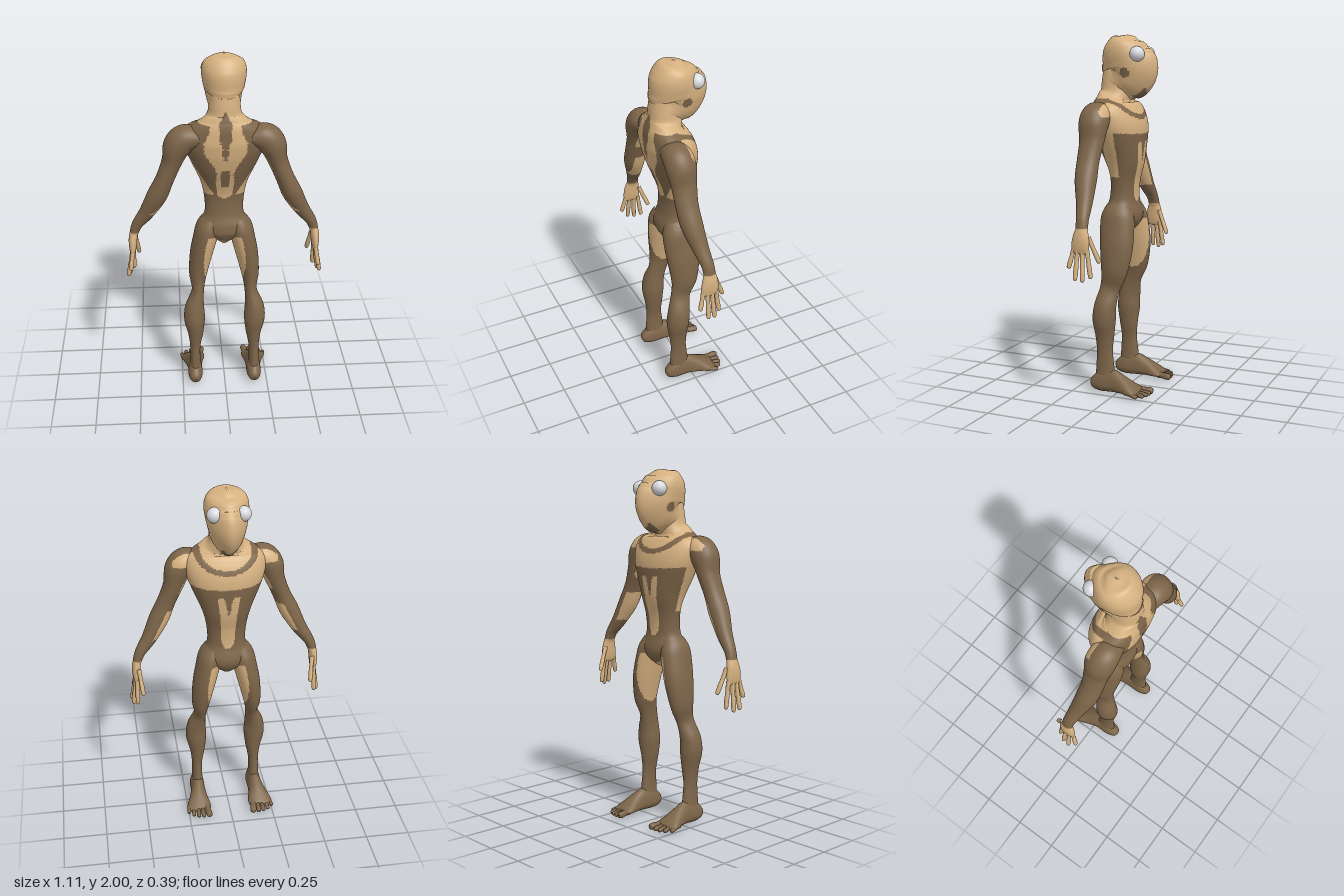
import * as THREE from 'three';

const tan = new THREE.MeshStandardMaterial({ color: 0xd6b180 });
const brown = new THREE.MeshStandardMaterial({ color: 0x7d6549 });
const eyeGrey = new THREE.MeshStandardMaterial({ color: 0xdadbdf });
tan.name = 'tanSkin';
brown.name = 'brownSkin';
eyeGrey.name = 'eyeGrey';

const Z = new THREE.Vector3(0, 0, 1), Y = new THREE.Vector3(0, 1, 0);

// Smooth interpolation of rows of numbers
function sample(rows, t) {
  const n = rows.length - 1, i = Math.min(Math.floor(t), n - 1), f = t - i;
  const [a, b, c, d] = [rows[Math.max(i - 1, 0)], rows[i], rows[i + 1], rows[Math.min(i + 2, n)]];
  return b.map((_, k) => b[k] + 0.5 * f * (c[k] - a[k]
    + f * (2 * a[k] - 5 * b[k] + 4 * c[k] - d[k] + f * (3 * (b[k] - c[k]) + d[k] - a[k]))));
}

// Linear lookup in [key, value] pairs, zero outside
function lookup(table, k) {
  for (let i = 0; i < table.length - 1; i++) {
    const [k0, v0] = table[i], [k1, v1] = table[i + 1];
    if (k >= k0 && k <= k1) return v0 + (v1 - v0) * (k - k0) / (k1 - k0);
  }
  return 0;
}

// Loft of oval rings [x, y, z, side radius, radius along ref, radius against ref];
// isTan(|x|, y, z) picks the skin colour of each face
function loft(name, rows, isTan, { ref = Z, seg = 48, steps = 8, power = 1, taper = 0 } = {}) {
  const count = (rows.length - 1) * steps, pos = [], lists = [[], []];
  const at = (t) => new THREE.Vector3(...sample(rows, t));
  for (let i = 0; i <= count; i++) {
    const t = i / steps, [x, y, z, side, plus, minus] = sample(rows, t);
    const T = at(Math.min(t + 0.1, rows.length - 1)).sub(at(Math.max(t - 0.1, 0))).normalize();
    const V = ref.clone().addScaledVector(T, -ref.dot(T)).normalize();
    const U = V.clone().cross(T);
    for (let j = 0; j < seg; j++) {
      const a = j / seg * Math.PI * 2, c = Math.cos(a), s = Math.sin(a);
      const shape = (v) => Math.sign(v) * Math.abs(v) ** power;
      const narrow = c < 0 ? 1 - taper * c * c : 1;
      const p = new THREE.Vector3(x, y, z)
        .addScaledVector(U, Math.max(side, 0.001) * shape(s) * narrow)
        .addScaledVector(V, Math.max(c > 0 ? plus : minus, 0.001) * shape(c));
      pos.push(p.x, p.y, p.z);
    }
  }
  const face = (a, b, c) => {
    const mid = (k) => (pos[a * 3 + k] + pos[b * 3 + k] + pos[c * 3 + k]) / 3;
    const ax = Math.abs(mid(0));
    lists[isTan(ax, mid(1), mid(2)) ? 0 : 1].push(a, b, c);
  };
  for (let i = 0; i < count; i++) for (let j = 0; j < seg; j++) {
    const k = (j + 1) % seg, a = i * seg + j, b = i * seg + k;
    face(a, a + seg, b);
    face(b, a + seg, b + seg);
  }
  const g = new THREE.BufferGeometry();
  g.setAttribute('position', new THREE.Float32BufferAttribute(pos, 3));
  g.setIndex([...lists[0], ...lists[1]]);
  g.addGroup(0, lists[0].length, 0);
  g.addGroup(lists[0].length, lists[1].length, 1);
  g.computeVertexNormals();
  const mesh = new THREE.Mesh(g, [tan, brown]);
  mesh.name = name;
  return mesh;
}

// Upright ring from height, half width, front z and back z
const ring = ([y, w, front, back]) => {
  const z = (front + back) / 2;
  return [0, y, z, w, back - z, z - front];
};

// Markings
const backPanel = [[1.17, 0.035], [1.24, 0.045], [1.33, 0.05], [1.37, 0.042], [1.42, 0.065],
  [1.5, 0.115], [1.56, 0.115], [1.62, 0.085], [1.7, 0.08]];
const spine = [[1.28, 0.02], [1.33, 0.025], [1.39, 0.022], [1.395, 0], [1.43, 0], [1.5, 0.015],
  [1.53, 0.012], [1.57, 0.03], [1.66, 0.035], [1.73, 0]];
const belly = [[1.08, 0.012], [1.11, 0.035], [1.22, 0.04], [1.3, 0.045], [1.41, 0.06], [1.42, 0]];
const bellyNotch = [[1.29, 0], [1.42, 0.026]];

function torsoTan(ax, y, z) {
  if (z > 0.09 && ax < lookup(spine, y)) return false;
  if (y > 1.655) return true;
  if (z > 0.1) return ax < lookup(backPanel, y);
  if (y < 0.97) return ax < 0.07 && z > -0.03;
  if (y > 1.46 + 0.25 * ax * ax && z < 0.065) {
    const collar = (ax / 0.16) ** 2 + ((1.665 - y) / 0.11) ** 2;
    return collar < 0.8 || collar > 1.3;
  }
  if (z < 0 && ax < 0.09) return ax < lookup(belly, y) && ax >= lookup(bellyNotch, y);
  return y > 1.22 && y < 1.49 && Math.abs(z - 0.055) < 0.04;
}
const headTan = (ax, y, z) => Math.hypot(y - 1.795, z + 0.01) > 0.028
  && !(y < 1.765 && z < -0.03 && z > -0.11 && ax < 0.04);
function armTan(ax, y, z) {
  if (y < 0.995) return true;
  if (y > 1.56 && ax < 0.29) return z < 0.06;
  const inner = ax < 0.37 + (1.23 - y) * 0.5 - 0.012;
  if (y > 1.12 && y < 1.29) return inner && z < 0.125;
  return y > 1.38 && y < 1.5 && ax < 0.262 && Math.abs(z - 0.09) < 0.045;
}
const legTan = (ax, y) => y > 0.64 && y < 0.97 && ax < 0.118 - ((y - 0.8) / 0.17) ** 2 * 0.025;
const allTan = () => true, allBrown = () => false;

const torso = [[0.9, 0.01, 0.02, 0.06], [0.93, 0.05, -0.03, 0.1], [0.98, 0.12, -0.063, 0.125],
  [1.03, 0.135, -0.06, 0.125], [1.1, 0.108, -0.045, 0.105], [1.2, 0.112, -0.05, 0.1],
  [1.3, 0.135, -0.075, 0.125], [1.42, 0.185, -0.085, 0.165], [1.5, 0.215, -0.08, 0.185],
  [1.57, 0.225, -0.05, 0.195], [1.62, 0.2, -0.02, 0.188], [1.655, 0.14, -0.01, 0.175],
  [1.69, 0.095, -0.015, 0.165], [1.75, 0.083, -0.013, 0.16], [1.82, 0.075, 0, 0.15]];
const head = [[1.7, 0.082, -0.01, 0.163], [1.735, 0.085, -0.03, 0.163], [1.755, 0.09, -0.09, 0.163],
  [1.78, 0.098, -0.145, 0.163], [1.82, 0.108, -0.167, 0.163], [1.86, 0.115, -0.148, 0.163],
  [1.9, 0.12, -0.12, 0.157], [1.94, 0.115, -0.098, 0.142], [1.97, 0.098, -0.07, 0.115],
  [1.99, 0.06, -0.035, 0.075], [2.0, 0.003, 0.01, 0.03]];
const arm = [[0.14, 1.57, 0.1, 0.05, 0.07, 0.06], [0.21, 1.565, 0.105, 0.075, 0.08, 0.08],
  [0.255, 1.52, 0.1, 0.075, 0.085, 0.08], [0.285, 1.43, 0.095, 0.055, 0.075, 0.065],
  [0.325, 1.33, 0.1, 0.05, 0.065, 0.06], [0.37, 1.23, 0.095, 0.055, 0.06, 0.06],
  [0.43, 1.12, 0.075, 0.042, 0.045, 0.045], [0.485, 1.04, 0.06, 0.03, 0.035, 0.035],
  [0.507, 0.98, 0.055, 0.024, 0.034, 0.034]];
const palm = [[0.503, 1.0, 0.055, 0.022, 0.03, 0.032], [0.512, 0.95, 0.057, 0.024, 0.045, 0.045],
  [0.515, 0.9, 0.06, 0.021, 0.05, 0.052], [0.516, 0.865, 0.06, 0.013, 0.045, 0.045],
  [0.517, 0.855, 0.06, 0.001, 0.02, 0.02]];
const fingers = [[[0.515, 0.88, 0.098], [0.53, 0.78, 0.122]], [[0.518, 0.88, 0.073], [0.545, 0.72, 0.078]],
  [[0.516, 0.88, 0.047], [0.538, 0.712, 0.038]], [[0.512, 0.88, 0.022], [0.515, 0.73, 0.0]],
  [[0.5, 0.95, 0.02], [0.482, 0.81, -0.037]]];
const leg = [[0.07, 1.06, 0.035, 0.05, 0.07, 0.07], [0.09, 1.0, 0.035, 0.068, 0.095, 0.095],
  [0.11, 0.92, 0.03, 0.067, 0.1, 0.1], [0.132, 0.82, 0.025, 0.063, 0.095, 0.095],
  [0.15, 0.7, 0.03, 0.051, 0.078, 0.078], [0.153, 0.6, 0.055, 0.035, 0.058, 0.06],
  [0.173, 0.5, 0.075, 0.055, 0.063, 0.063], [0.175, 0.42, 0.08, 0.06, 0.068, 0.065],
  [0.17, 0.33, 0.08, 0.045, 0.055, 0.055], [0.173, 0.24, 0.078, 0.031, 0.047, 0.047],
  [0.174, 0.15, 0.075, 0.03, 0.055, 0.053], [0.175, 0.06, 0.07, 0.037, 0.065, 0.06]];
const foot = [[0.175, 0.045, 0.165, 0.002, 0.002, 0.002], [0.175, 0.047, 0.152, 0.028, 0.035, 0.03],
  [0.175, 0.047, 0.1, 0.042, 0.08, 0.044], [0.175, 0.045, 0.03, 0.042, 0.09, 0.04],
  [0.18, 0.04, -0.03, 0.052, 0.068, 0.033], [0.185, 0.03, -0.1, 0.07, 0.035, 0.021],
  [0.19, 0.025, -0.135, 0.064, 0.016, 0.012], [0.19, 0.024, -0.142, 0.03, 0.004, 0.004]];
const toes = [[0.132, -0.2, 0.02], [0.166, -0.198, 0.014], [0.196, -0.194, 0.013],
  [0.225, -0.18, 0.013], [0.252, -0.152, 0.013]];

// Rounded digit between two points
function digit(name, from, to, r, isTan, ref) {
  const rows = [[0, 1], [0.35, 0.85], [0.65, 0.95], [0.92, 0.85], [0.985, 0.5], [1, 0.03]].map(([t, k]) =>
    [...from.map((v, i) => v + (to[i] - v) * t), r * k, r * k, r * k]);
  return loft(name, rows, isTan, { ref, seg: 14, steps: 4 });
}

export function createModel() {
  const model = new THREE.Group();
  model.name = 'creature';
  model.add(loft('torso', torso.map(ring), torsoTan, { seg: 96, steps: 10, power: 0.9 }));
  model.add(loft('head', head.map(ring), headTan, { seg: 72, taper: 0.3 }));

  for (const s of [1, -1]) {
    const side = s > 0 ? 'left' : 'right';
    const flip = (rows) => rows.map(([x, ...rest]) => [s * x, ...rest]);

    const eye = new THREE.Mesh(new THREE.SphereGeometry(0.042, 32, 24), eyeGrey);
    eye.name = side + 'Eye';
    eye.position.set(s * 0.076, 1.895, -0.075);
    model.add(eye);

    model.add(loft(side + 'Arm', flip(arm), armTan, { seg: 64, steps: 10 }));
    model.add(loft(side + 'Palm', flip(palm), allTan, { seg: 32 }));
    fingers.forEach((f, i) => model.add(
      digit(side + (i < 4 ? 'Finger' + (i + 1) : 'Thumb'), ...flip(f), 0.0135, allTan, Z)));

    model.add(loft(side + 'Leg', flip(leg), legTan, { seg: 56 }));
    model.add(loft(side + 'Foot', flip(foot), allBrown, { ref: Y }));
    toes.forEach(([x, z, r], i) => model.add(digit(side + 'Toe' + (i + 1),
      ...flip([[0.18 + (x - 0.18) * 0.8, 0.03, z + 0.08], [x, r + 0.005, z]]), r, allBrown, Y)));
  }
  return model;
}
